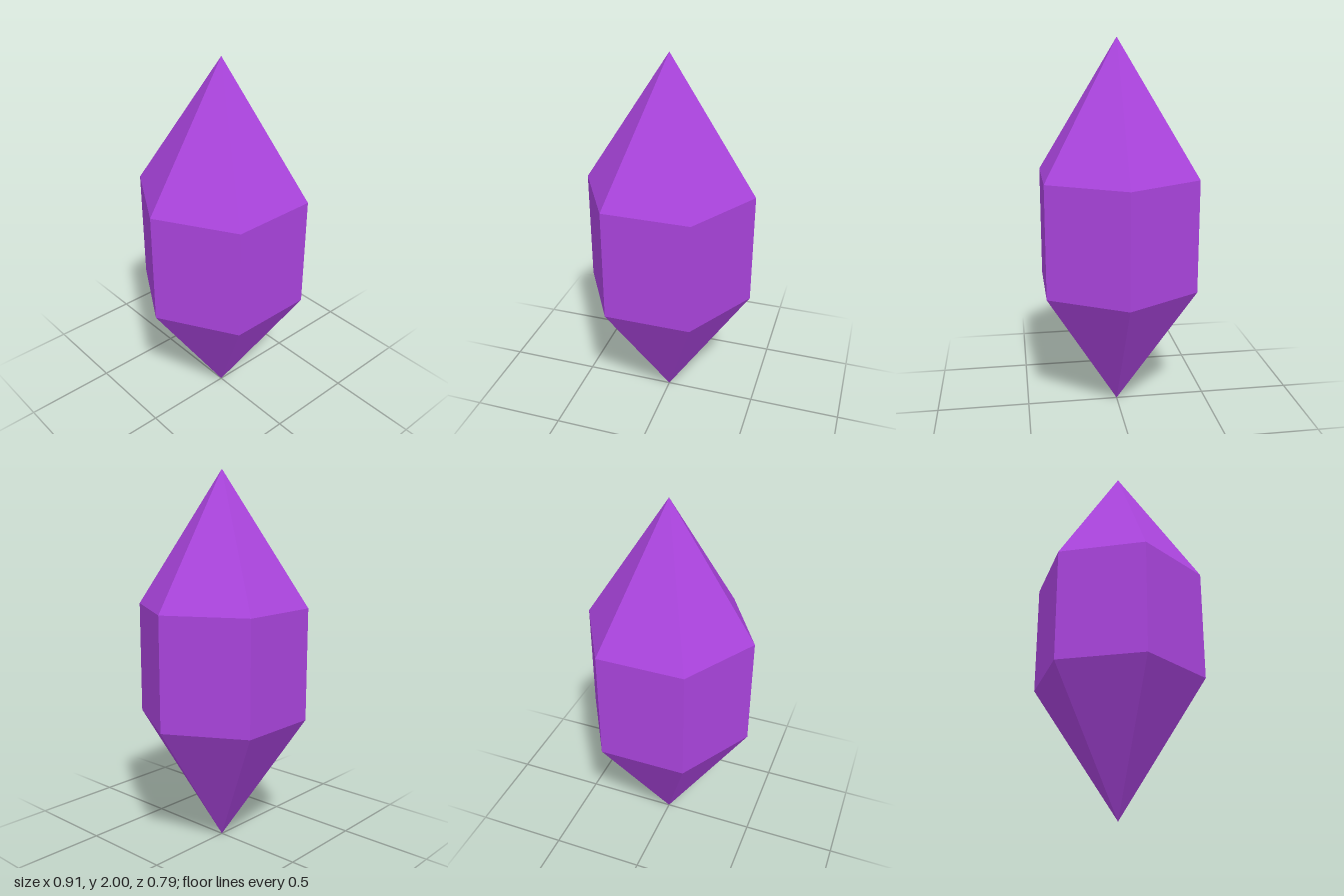
import * as THREE from 'three';

const RADIUS = 0.456;      // corner radius of the hexagon
const LOW = 0.7, HIGH = 1.3, TOP = 2;
const SIDES = 6;
const TURN = Math.PI / 6;  // puts corners on the x axis and flat faces to the front

export function createModel() {
  const model = new THREE.Group();
  model.name = 'crystal';

  const purple = new THREE.MeshStandardMaterial({ color: 0xaa44dd, flatShading: true });
  purple.name = 'purple';

  // One open six-sided section between two heights
  function section(name, topRadius, bottomRadius, y0, y1) {
    const geometry = new THREE.CylinderGeometry(topRadius, bottomRadius, y1 - y0, SIDES, 1, true, TURN);
    const mesh = new THREE.Mesh(geometry, purple);
    mesh.name = name;
    mesh.position.y = (y0 + y1) / 2;
    model.add(mesh);
  }

  section('lowerPoint', RADIUS, 0, 0, LOW);
  section('body', RADIUS, RADIUS, LOW, HIGH);
  section('upperPoint', 0, RADIUS, HIGH, TOP);

  return model;
}
